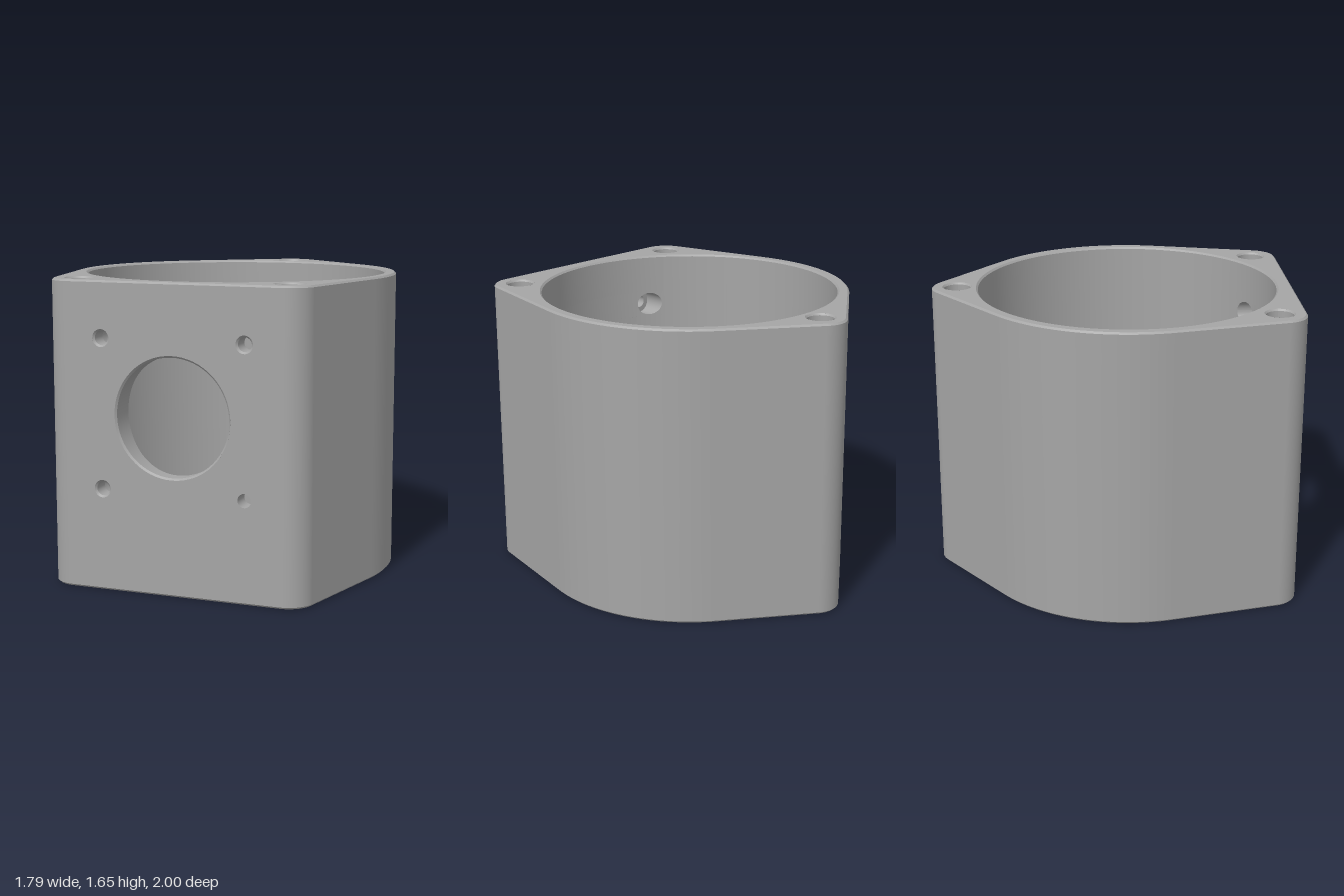
import * as THREE from 'three';
import { mergeGeometries } from 'three/addons/utils/BufferGeometryUtils.js';

const H = 1.65, C = 0.01;             // height, edge chamfer
const ZC = 0.085, R = 0.83, RO = 0.895; // bore centre, bore radius, outer radius
const CORNER = { x: 0.59, z: 0.855, r: 0.145 }, TIP = { z: -0.86, r: 0.14 };
const TAU = Math.PI * 2;
const boreZ = x => ZC + Math.sqrt(R * R - x * x);
const lerp = THREE.MathUtils.lerp;

// Smooth grid surface from f(u, v) -> [x, y, z]
function patch(nu, nv, f) {
  const pos = [], idx = [];
  for (let j = 0; j <= nv; j++)
    for (let i = 0; i <= nu; i++) pos.push(...f(i / nu, j / nv));
  for (let j = 0; j < nv; j++)
    for (let i = 0; i < nu; i++) {
      const a = j * (nu + 1) + i, b = a + nu + 1;
      idx.push(a, a + 1, b, a + 1, b + 1, b);
    }
  const g = new THREE.BufferGeometry();
  g.setAttribute('position', new THREE.Float32BufferAttribute(pos, 3));
  g.setIndex(idx);
  g.computeVertexNormals();
  return g;
}

// Plan outline: tangent arcs round the front corners, the barrel and the back tip
function outline(inset) {
  const dx = CORNER.x, dz = CORNER.z - ZC;
  const a = Math.atan2(dz, dx) - Math.acos((RO - CORNER.r) / Math.hypot(dx, dz));
  const b = -Math.PI / 2 + Math.acos((RO - TIP.r) / (ZC - TIP.z));
  const arcs = [
    [CORNER.x, CORNER.z, CORNER.r, Math.PI / 2, a, 16],
    [0, ZC, RO, a, b, 32],
    [0, TIP.z, TIP.r, b, -Math.PI / 2, 10],
  ];
  const half = [];
  for (const [cx, cz, r, s, e, n] of arcs)
    for (let i = 0; i <= n; i++) {
      const t = lerp(s, e, i / n);
      half.push([cx + (r - inset) * Math.cos(t), cz + (r - inset) * Math.sin(t)]);
    }
  return [...half, ...half.slice(0, -1).reverse().map(([x, z]) => [-x, z])];
}

// Band between two outlines at two heights
function band(inset0, y0, inset1, y1, closed) {
  const p = outline(inset0), q = outline(inset1);
  const n = closed ? p.length : p.length - 1;
  return patch(n, 1, (u, v) => {
    const i = Math.round(u * n) % p.length;
    return [lerp(p[i][0], q[i][0], v), lerp(y0, y1, v), lerp(p[i][1], q[i][1], v)];
  });
}

// Flat shape with round holes [x, y, r]
function plate(points, holes) {
  const s = new THREE.Shape(points.map(([x, y]) => new THREE.Vector2(x, y)));
  for (const [x, y, r] of holes) s.holes.push(new THREE.Path().absarc(x, y, r, 0, TAU, true));
  const g = new THREE.ShapeGeometry(s, 64);
  g.deleteAttribute('uv');
  return g;
}

// Hole through the front wall; profile is [radius, z], z null meaning the bore surface
function tunnel(cx, cy, profile) {
  return profile.slice(1).map(([r1, z1], k) => {
    const [r0, z0] = profile[k];
    return patch(64, 1, (u, v) => {
      const r = lerp(r0, r1, v), x = cx + r * Math.cos(u * TAU);
      return [x, cy + r * Math.sin(u * TAU), lerp(z0, z1 ?? boreZ(x), v)];
    });
  });
}

// Blind screw hole sunk into the top
function blindHole(cx, cz) {
  const prof = [[0.082, H], [0.074, H - C], [0.074, H - 0.35], [0, H - 0.35]];
  return prof.slice(1).map(([r1, y1], k) => patch(40, 1, (u, v) => {
    const r = lerp(prof[k][0], r1, v);
    return [cx + r * Math.cos(u * TAU), lerp(prof[k][1], y1, v), cz - r * Math.sin(u * TAU)];
  }));
}

// Bore pieces: plain arcs, flat-grid cells on the curve, cells with a round opening
const arc = (a0, a1, r0, y0, r1, y1, n) => patch(n, 1, (u, v) => {
  const a = lerp(a0, a1, u), r = lerp(r0, r1, v);
  return [r * Math.cos(a), lerp(y0, y1, v), ZC + r * Math.sin(a)];
});
const cell = (x0, x1, y0, y1) => patch(24, 1, (u, v) => {
  const x = lerp(x1, x0, u);
  return [x, lerp(y0, y1, v), boreZ(x)];
});
const holedCell = (cx, cy, r, half) => patch(64, 4, (u, v) => {
  const c = Math.cos(u * TAU), s = Math.sin(u * TAU);
  const d = lerp(r, half / Math.max(Math.abs(c), Math.abs(s)), v), x = cx + d * c;
  return [x, cy + d * s, boreZ(x)];
});

export function createModel() {
  const group = new THREE.Group();
  const grey = new THREE.MeshStandardMaterial({ color: 0xa5a5a5, side: THREE.DoubleSide });
  grey.name = 'grey';
  const add = (name, parts) => {
    const m = new THREE.Mesh(mergeGeometries(parts), grey);
    m.name = name;
    group.add(m);
  };

  const CY = 0.95, BIG = 0.315, SMALL = 0.037, SINK = 0.047, POCKET = 0.068;
  const screws = [[-0.4, 1.35, SINK], [0.4, 1.35, SINK], [-0.4, 0.55, SINK], [0.4, 0.55, SMALL]];
  const corners = [[0, TIP.z], [CORNER.x, CORNER.z], [-CORNER.x, CORNER.z]];

  // Outer shell with chamfered rims
  add('outerWall', [band(0, C, 0, H - C, false)]);
  add('bottomChamfer', [band(C, 0, 0, C, true)]);
  add('topChamfer', [band(0, H - C, C, H, true)]);

  // Front mounting face
  const w = CORNER.x;
  const front = plate([[-w, C], [w, C], [w, H - C], [-w, H - C]], [[0, CY, BIG + C], ...screws]);
  add('frontFace', [front.translate(0, 0, 1)]);

  // End faces
  const top = plate(outline(C).map(([x, z]) => [x, -z]),
    [[0, -ZC, R + C], ...corners.map(([x, z]) => [x, -z, 0.082])]);
  add('topFace', [top.rotateX(-Math.PI / 2).translate(0, H, 0)]);
  const bottom = plate(outline(C), [[0, ZC, R + C]]);
  add('bottomFace', [bottom.rotateX(Math.PI / 2)]);

  // Bore: back arc, then a three by three grid of cells at the front
  const X = [-0.476, -0.324, 0.324, 0.476], Y = [0.474, 0.626, 1.274, 1.426];
  const h = Math.asin(X[3] / R), q = Math.PI / 2;
  add('bore', [
    arc(q + h, q + TAU - h, R, C, R, H - C, 96),
    arc(0, TAU, R + C, 0, R, C, 128),
    arc(0, TAU, R, H - C, R + C, H, 128),
    cell(X[0], X[3], C, Y[0]), cell(X[0], X[3], Y[3], H - C),
    cell(X[1], X[2], Y[0], Y[1]), cell(X[1], X[2], Y[2], Y[3]),
    cell(X[0], X[1], Y[1], Y[2]), cell(X[2], X[3], Y[1], Y[2]),
    holedCell(0, CY, BIG, 0.324),
    ...screws.map(([x, y]) => holedCell(x, y, POCKET, 0.076)),
  ]);

  // Openings in the front wall
  add('shaftOpening', tunnel(0, CY, [[BIG + C, 1], [BIG, 1 - C], [BIG, null]]));
  add('mountingHoles', screws.flatMap(([x, y, r]) =>
    tunnel(x, y, [[r, 1], [SMALL, 1 - C], [SMALL, 0.9], [POCKET, 0.9], [POCKET, null]])));

  // Screw holes in the top corners
  add('cornerHoles', corners.flatMap(([x, z]) => blindHole(x, z)));
  return group;
}
